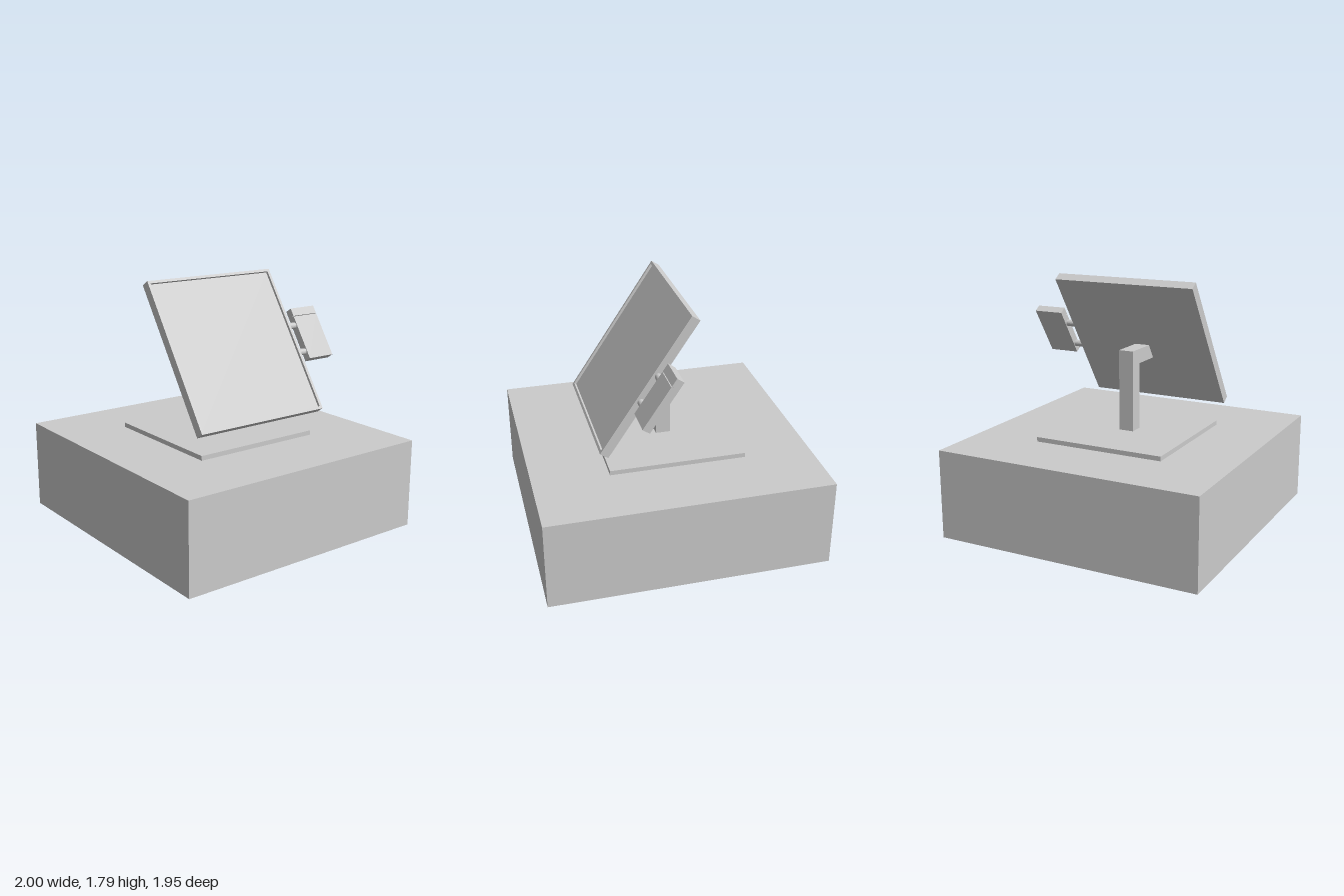
import * as THREE from 'three';

const material = new THREE.MeshStandardMaterial({ color: 0xcccccc, flatShading: true });

function add(parent, name, geometry, x = 0, y = 0, z = 0) {
  const mesh = new THREE.Mesh(geometry, material);
  mesh.name = name;
  mesh.position.set(x, y, z);
  parent.add(mesh);
  return mesh;
}

const box = (w, h, d) => new THREE.BoxGeometry(w, h, d);

function rectangle(PathType, w, h) {
  return new PathType([[-w, -h], [w, -h], [w, h], [-w, h]]
    .map(([x, y]) => new THREE.Vector2(x / 2, y / 2)));
}

export function createModel() {
  const model = new THREE.Group();
  model.name = 'displayTerminal';

  // Counter block and mounting plate
  add(model, 'counter', box(2, 0.643, 1.95), 0, 0.3215, 0);
  add(model, 'mountingPlate', box(0.974, 0.033, 0.97), -0.027, 0.6595, 0);

  // L-shaped stand, its arm cut to the slope of the screen back
  const standShape = new THREE.Shape([
    [-0.08, 0.676], [0.027, 0.676], [0.027, 1.16], [0.248, 1.16], [0.178, 1.265], [-0.08, 1.265],
  ].map(([x, y]) => new THREE.Vector2(x, y)));
  add(model, 'stand', new THREE.ExtrudeGeometry(standShape, { depth: 0.11, bevelEnabled: false }), 0, 0, -0.055);

  // Tilted screen: local +x is the viewing side, +y runs up the slope
  const screen = new THREE.Group();
  screen.name = 'screen';
  screen.position.set(0.194, 1.3, 0);
  screen.rotation.z = Math.atan2(0.556, 0.831);
  model.add(screen);

  const height = 1.125, width = 1.07, border = 0.02;
  add(screen, 'screenPanel', box(0.049, height, width), -0.009, 0, 0);
  const rim = rectangle(THREE.Shape, width, height);
  rim.holes.push(rectangle(THREE.Path, width - 2 * border, height - 2 * border));
  const rimGeometry = new THREE.ExtrudeGeometry(rim, { depth: 0.018, bevelEnabled: false }).rotateY(Math.PI / 2);
  add(screen, 'screenRim', rimGeometry, 0.0155, 0, 0);

  // Side reader, with a shallow slot across its face
  const reader = new THREE.Group();
  reader.name = 'sideReader';
  reader.position.set(-0.005, 0.028, -0.716);
  screen.add(reader);
  add(reader, 'readerBack', box(0.046, 0.404, 0.224), -0.006, 0, 0);
  add(reader, 'readerCap', box(0.012, 0.061, 0.224), 0.023, 0.1715, 0);
  add(reader, 'readerFace', box(0.012, 0.337, 0.224), 0.023, -0.0335, 0);

  // Two round pegs joining the reader to the screen
  for (const y of [0.104, -0.107]) {
    add(screen, 'readerPeg', new THREE.CylinderGeometry(0.024, 0.024, 0.09, 24).rotateX(Math.PI / 2), -0.005, y, -0.57);
  }

  return model;
}
